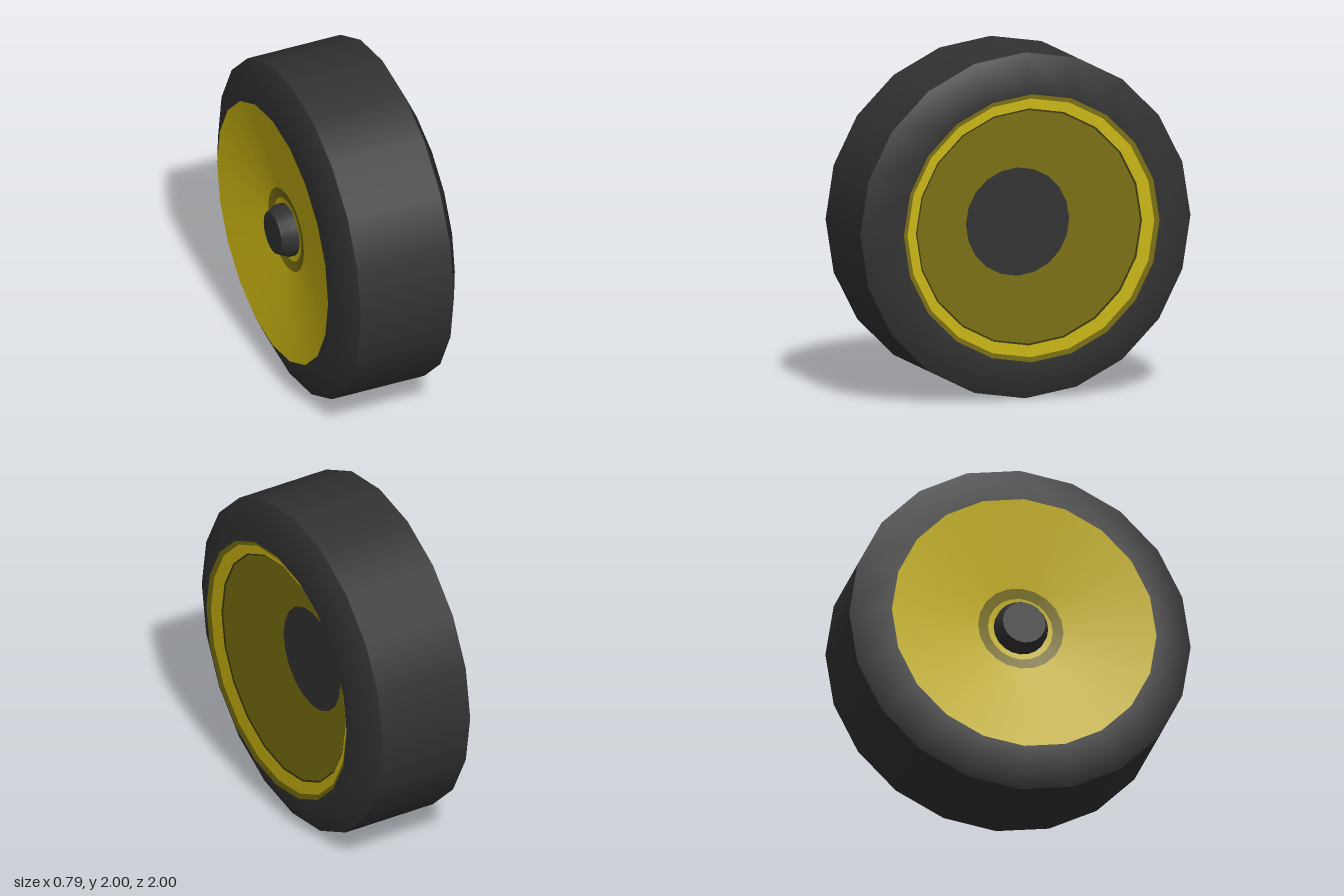
import * as THREE from 'three';

const SIDES = 20;
const paint = (name, color) => {
  const m = new THREE.MeshStandardMaterial({ color });
  m.name = name;
  return m;
};

export function createModel() {
  const rubber = paint('tyre black', 0x323232);
  const yellow = paint('rim yellow', 0xcab512);
  const olive = paint('rim olive', 0x7a6f10);
  const shade = paint('groove dark olive', 0x403a0c);

  const wheel = new THREE.Group();
  wheel.name = 'wheel';

  // Revolve [radius, x] points about the x axis; list points from -x to +x.
  // Vertices accepted by isAxial get a normal along the axle, for a soft dish.
  const ring = (name, points, material, isAxial = () => false) => {
    const geo = new THREE.LatheGeometry(points.map(([r, x]) => new THREE.Vector2(r, x)), SIDES);
    geo.rotateZ(-Math.PI / 2);
    const p = geo.attributes.position;
    for (let i = 0; i < p.count; i++) {
      const r = Math.hypot(p.getY(i), p.getZ(i));
      if (isAxial(r)) geo.attributes.normal.setXYZ(i, Math.sign(points[0][1] + points[1][1]), 0, 0);
    }
    const mesh = new THREE.Mesh(geo, material);
    mesh.name = name;
    wheel.add(mesh);
  };

  // Tyre: flat tread and a sloped wall on each side
  const nearRim = (r) => r < 0.9;
  ring('tyreTread', [[1, -0.29], [1, 0.29]], rubber);
  ring('tyreWallLeft', [[1, 0.29], [0.775, 0.395]], rubber, nearRim);
  ring('tyreWallRight', [[0.775, -0.395], [1, -0.29]], rubber, nearRim);

  // Deep conical dish on the left, in painted bands
  const deep = (r) => [r, 0.395 * r / 0.775];
  const deepBands = [
    ['rimEdge', 0.775, 0.748, olive],
    ['rimBand', 0.748, 0.685, yellow],
    ['rimGroove', 0.685, 0.675, shade],
    ['dish', 0.675, 0.313, olive],
    ['hub', 0.313, 0, rubber],
  ];
  for (const [name, outer, inner, material] of deepBands)
    ring(name, [deep(outer), deep(inner)], material, () => true);

  // Shallow dish on the right
  const shallow = (r) => [r, -0.395 + (0.775 - r) * 0.16];
  const shallowBands = [
    ['backDish', 0.25, 0.775, yellow],
    ['backHubRing', 0.19, 0.25, olive],
    ['backHubInner', 0.13, 0.19, yellow],
  ];
  for (const [name, inner, outer, material] of shallowBands)
    ring(name, [shallow(inner), shallow(outer)], material);

  // Axle stub with a tapered end
  ring('axleCap', [[0, -0.395], [0.125, -0.395]], rubber);
  ring('axleTaper', [[0.125, -0.395], [0.155, -0.335]], rubber);
  ring('axleStub', [[0.155, -0.335], [0.155, -0.28]], rubber);

  wheel.position.y = 1;
  const model = new THREE.Group();
  model.name = 'wheelModel';
  model.add(wheel);
  return model;
}
